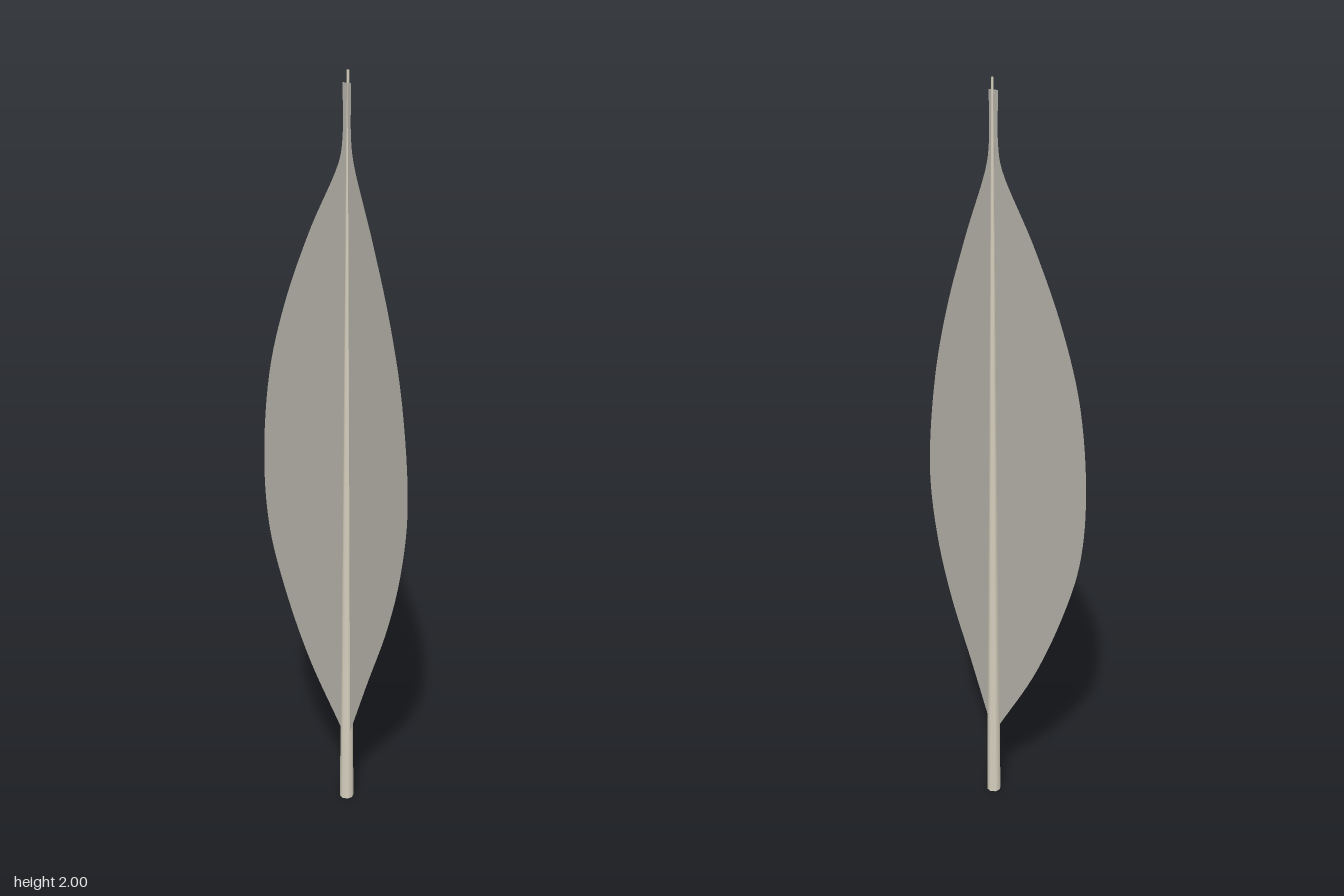
import * as THREE from 'three';

const AXIS_X = 0.023, SHAFT_Z = -0.005, VANE_Z = -0.002;

// Half of the vane: a sheet from the shaft line out to a curved edge, swept forward
function vaneHalf(edge, side, material) {
  const curve = new THREE.CatmullRomCurve3(edge.map(([x, y]) => new THREE.Vector3(x, y, 0)), false, 'centripetal');
  const rows = 64, cols = 4;
  const geometry = new THREE.PlaneGeometry(1, 1, cols, rows);
  const pos = geometry.attributes.position;
  for (let r = 0; r <= rows; r++) {
    const p = curve.getPoint(r / rows);
    for (let c = 0; c <= cols; c++) {
      // columns run in +x so that the front faces +z
      const t = side > 0 ? c / cols : 1 - c / cols;
      const dx = (p.x - AXIS_X) * t;
      pos.setXYZ(r * (cols + 1) + c, AXIS_X + dx, p.y, VANE_Z + Math.abs(dx) * 0.1);
    }
  }
  geometry.computeVertexNormals();
  const mesh = new THREE.Mesh(geometry, material);
  mesh.name = side > 0 ? 'leftVane' : 'rightVane';
  return mesh;
}

export function createModel() {
  const group = new THREE.Group();
  group.name = 'feather';
  const shaftColor = new THREE.MeshStandardMaterial({ name: 'cream shaft', color: 0xd6d0be });
  const vaneColor = new THREE.MeshStandardMaterial({ name: 'grey vane', color: 0xaeaaa3, side: THREE.DoubleSide });

  // Tapering quill, eight sided
  const shaft = new THREE.Mesh(new THREE.CylinderGeometry(0.003, 0.019, 2, 8, 4), shaftColor);
  shaft.name = 'shaft';
  shaft.position.set(AXIS_X, 1, SHAFT_Z);
  group.add(shaft);

  // Vane outlines, listed from top to bottom
  const rightEdge = [[0.01, 1.97], [0.01, 1.84], [0, 1.78], [-0.085, 1.6], [-0.163, 1.4], [-0.215, 1.2],
    [-0.236, 0.95], [-0.222, 0.76], [-0.178, 0.6], [-0.098, 0.4], [0.008, 0.21]];
  const leftEdge = [[0.036, 1.97], [0.036, 1.84], [0.045, 1.78], [0.108, 1.6], [0.17, 1.4], [0.213, 1.2],
    [0.236, 0.93], [0.215, 0.74], [0.171, 0.57], [0.1, 0.38], [0.038, 0.21]];
  group.add(vaneHalf(rightEdge, -1, vaneColor), vaneHalf(leftEdge, 1, vaneColor));

  return group;
}
